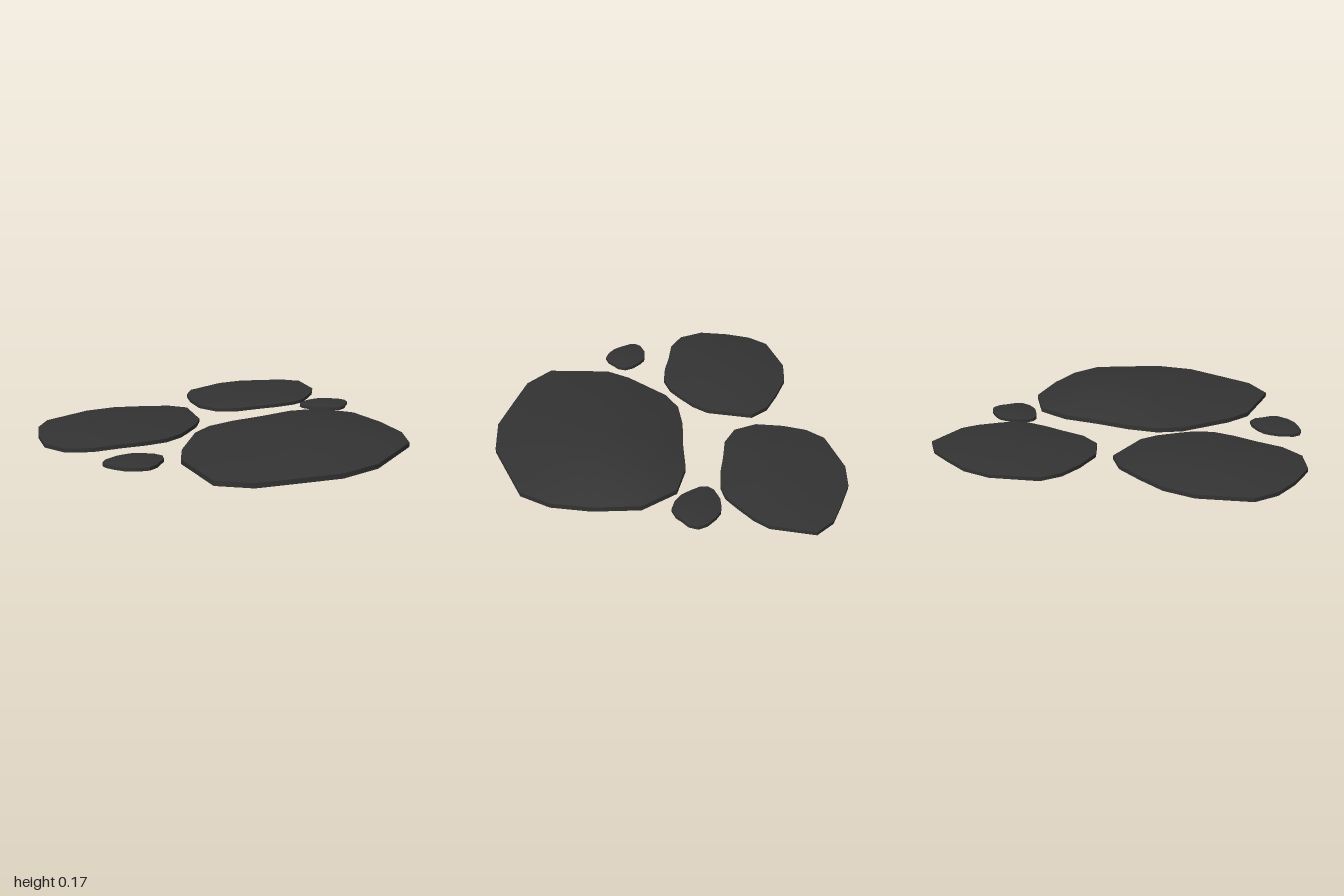
import * as THREE from 'three';
import { toCreasedNormals } from 'three/addons/utils/BufferGeometryUtils.js';

const RIM_Y = 0.083;

// Each stone: outline as x,z pairs, clockwise from above; heights of its faces.
// fold bends the underside downwards on both sides, tilt leans the faces in x and z.
const stones = [
  {
    name: 'largeFrontStone', centre: [0.34, 0.38], rim: 0.013, top: 0.153, bottom: 0.04,
    fold: 0.1, tilt: [0.03, -0.03], under: -0.03,
    outline: [-0.29, 0.59, -0.26, 0.44, -0.2, 0.3, -0.14, 0.16, -0.04, 0.05, 0.12, -0.03, 0.3, -0.09,
      0.5, -0.17, 0.69, -0.185, 0.865, -0.06, 0.95, 0.17, 0.985, 0.38, 0.95, 0.56, 0.8, 0.71,
      0.655, 0.855, 0.44, 0.955, 0.2, 0.98, -0.01, 1, -0.19, 0.93],
  },
  {
    name: 'leftOuterStone', centre: [-0.53, -0.08], rim: 0.011, top: 0.127, bottom: 0.037,
    fold: 0.045, tilt: [-0.02, -0.01], under: 0.02,
    outline: [-0.99, 0.02, -0.99, -0.13, -0.94, -0.26, -0.7, -0.425, -0.53, -0.47, -0.36, -0.46, -0.2, -0.44,
      -0.095, -0.375, -0.065, -0.12, -0.1, -0.02, -0.17, 0.09, -0.22, 0.16, -0.31, 0.23, -0.43, 0.265,
      -0.56, 0.285, -0.715, 0.32, -0.855, 0.3, -0.96, 0.19],
  },
  {
    name: 'rearStone', centre: [0.39, -0.65], rim: 0.01, top: 0.117, bottom: 0.052,
    fold: 0.02, tilt: [0, 0.02], under: 0,
    outline: [-0.04, -0.57, -0.04, -0.7, 0.005, -0.81, 0.23, -0.96, 0.385, -1, 0.54, -0.99, 0.68, -0.975,
      0.785, -0.915, 0.81, -0.69, 0.775, -0.6, 0.71, -0.5, 0.66, -0.43, 0.59, -0.385, 0.47, -0.35,
      0.35, -0.33, 0.21, -0.3, 0.08, -0.32, -0.01, -0.42],
  },
];

// The two pebbles share one outline.
const pebbleOutline = [-0.155, 0, -0.14, -0.04, -0.08, -0.09, -0.03, -0.11, 0.01, -0.12, 0.06, -0.11, 0.12, -0.085,
  0.155, -0.05, 0.155, 0, 0.13, 0.04, 0.11, 0.08, 0.07, 0.115, 0.01, 0.12, -0.05, 0.105, -0.1, 0.07, -0.14, 0.035];
for (const [name, x, z] of [['leftPebble', -0.525, 0.555], ['rightPebble', 0.765, -0.32]]) {
  stones.push({
    name, centre: [x, z], rim: 0.009, top: 0.102, bottom: 0.066, fold: 0, tilt: [0, 0], under: 0,
    outline: pebbleOutline.map((v, i) => v + (i % 2 ? z : x)),
  });
}

// Lens-shaped slab: rings run from the underside, over the thin rim, to the top.
function stoneGeometry({ centre: [cx, cz], rim, top, bottom, fold, tilt, under, outline }) {
  const n = outline.length / 2;
  const lower = (dx) => bottom - fold * Math.abs(dx) + under * dx;
  const upper = (dx, dz) => top + tilt[0] * dx + tilt[1] * dz;
  const rings = [
    [0, lower], [0.5, lower], [1, () => RIM_Y - rim],
    [1, () => RIM_Y + rim], [0.5, upper], [0, upper],
  ];
  const positions = [];
  const index = [];
  rings.forEach(([scale, height], r) => {
    for (let i = 0; i < n; i++) {
      const dx = (outline[2 * i] - cx) * scale;
      const dz = (outline[2 * i + 1] - cz) * scale;
      positions.push(cx + dx, height(dx, dz), cz + dz);
      if (r === rings.length - 1) continue;
      const j = (i + 1) % n;
      const a = r * n + i, b = r * n + j, c = b + n, d = a + n;
      if (r < rings.length - 2) index.push(a, d, c);
      if (r > 0) index.push(a, c, b);
    }
  });
  const geometry = new THREE.BufferGeometry();
  geometry.setAttribute('position', new THREE.Float32BufferAttribute(positions, 3));
  geometry.setIndex(index);
  return toCreasedNormals(geometry, 0.6);
}

export function createModel() {
  const group = new THREE.Group();
  group.name = 'steppingStones';
  const slate = new THREE.MeshStandardMaterial({ color: 0x333333 });
  for (const stone of stones) {
    const mesh = new THREE.Mesh(stoneGeometry(stone), slate);
    mesh.name = stone.name;
    group.add(mesh);
  }
  return group;
}
